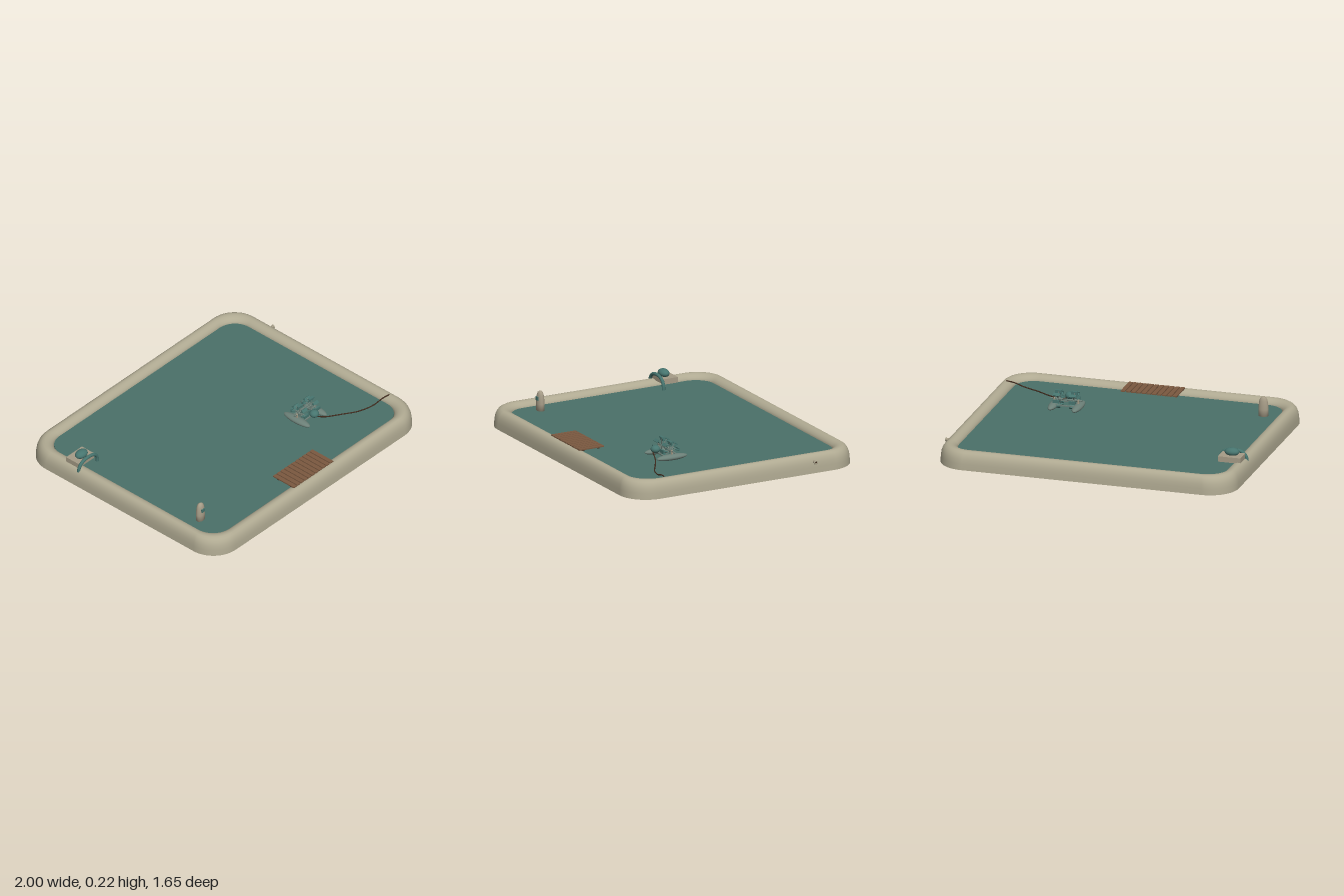
import * as THREE from 'three';

const mat = (name, color) => {
  const m = new THREE.MeshStandardMaterial({ color });
  m.name = name;
  return m;
};

export function createModel() {
  const stone = mat('sand stone', 0xb0aa92);
  stone.side = THREE.DoubleSide;
  const block = mat('warm grey stone', 0xa69c87);
  const water = mat('teal water', 0x4b7169);
  const teal = mat('teal plastic', 0x47756f);
  const grey = mat('grey green float', 0x6c8078);
  const wood = mat('brown wood', 0x7b5940);
  const dark = mat('dark brown', 0x3f2a1d);

  const model = new THREE.Group();
  const add = (name, geo, m, x = 0, y = 0, z = 0, parent = model) => {
    const mesh = new THREE.Mesh(geo, m);
    mesh.name = name;
    mesh.position.set(x, y, z);
    parent.add(mesh);
    return mesh;
  };
  const box = (w, h, d) => new THREE.BoxGeometry(w, h, d);
  const cyl = (r, h, n = 16) => new THREE.CylinderGeometry(r, r, h, n);
  const ellipsoid = (a, b, c) => new THREE.SphereGeometry(1, 28, 18).scale(a, b, c);

  // Rounded rectangle outline at a given inset from the outer edge
  const CX = -0.01, CZ = -0.005, SEG = 14;
  const outline = (inset) => {
    const r = 0.19 - 0.6 * inset, hx = 0.99 - inset - r, hz = 0.825 - inset - r;
    const pts = [];
    [[1, 1], [-1, 1], [-1, -1], [1, -1]].forEach(([sx, sz], q) => {
      for (let i = 0; i <= SEG; i++) {
        const t = (q + i / SEG) * Math.PI / 2;
        pts.push([CX + sx * hx + r * Math.cos(t), CZ + sz * hz + r * Math.sin(t)]);
      }
    });
    return pts;
  };

  // Hollow pool rim: a rounded section carried around the outline
  const section = [
    [0, 0], [0.002, 0.04], [0.006, 0.07], [0.014, 0.093], [0.025, 0.109], [0.038, 0.118],
    [0.052, 0.12], [0.068, 0.117], [0.082, 0.109], [0.093, 0.097], [0.099, 0.083], [0.1, 0.05], [0.1, 0.01],
  ];
  const pos = [], idx = [];
  const n = outline(0).length;
  section.forEach(([inset, y], j) => {
    outline(inset).forEach(([x, z]) => pos.push(x, y, z));
    if (j === section.length - 1) return;
    for (let i = 0; i < n; i++) {
      const a = j * n + i, b = j * n + (i + 1) % n;
      idx.push(a, a + n, b, b, a + n, b + n);
    }
  });
  const rim = new THREE.BufferGeometry();
  rim.setAttribute('position', new THREE.Float32BufferAttribute(pos, 3));
  rim.setIndex(idx);
  rim.computeVertexNormals();
  add('poolRim', rim, stone);

  // Body of water inside the rim
  const shape = new THREE.Shape(outline(0.1).map(([x, z]) => new THREE.Vector2(x, -z)));
  const body = new THREE.ExtrudeGeometry(shape, { depth: 0.075, bevelEnabled: false });
  add('water', body.rotateX(-Math.PI / 2), water, 0, 0.01, 0);

  // Plank deck over the front rim
  const deck = new THREE.Group();
  deck.name = 'deck';
  model.add(deck);
  for (let i = 0; i < 11; i++) {
    add('plank', box(0.028, 0.008, 0.18), wood, -0.188 + i * 0.0345, 0.123, 0.68, deck);
  }
  for (const z of [0.63, 0.74]) add('deckBearer', box(0.37, 0.006, 0.014), dark, -0.0155, 0.117, z, deck);

  // Fountain: stone block, dome and arched jet
  const fountain = new THREE.Group();
  fountain.name = 'fountain';
  model.add(fountain);
  add('fountainBlock', box(0.15, 0.036, 0.105), block, -0.89, 0.132, -0.443, fountain);
  add('fountainDome', ellipsoid(0.048, 0.027, 0.034), teal, -0.89, 0.168, -0.432, fountain);
  const arch = new THREE.CatmullRomCurve3([
    [-0.974, 0.07], [-0.968, 0.125], [-0.94, 0.154], [-0.885, 0.165], [-0.83, 0.154], [-0.802, 0.125], [-0.796, 0.07],
  ].map(([x, y]) => new THREE.Vector3(x, y, -0.38)));
  add('fountainArch', new THREE.TubeGeometry(arch, 40, 0.011, 12), teal, 0, 0, 0, fountain);

  // Domed float standing in the left front corner
  const dome = new THREE.LatheGeometry([
    [0, 0.08], [0.032, 0.08], [0.033, 0.13], [0.031, 0.16], [0.027, 0.188], [0.02, 0.205], [0.01, 0.213], [0, 0.215],
  ].map(([x, y]) => new THREE.Vector2(x, y)), 28).scale(1, 1, 0.76);
  add('skimmerDome', dome, block, -0.805, 0, 0.513);
  add('skimmerWindow', box(0.028, 0.024, 0.008), teal, -0.805, 0.166, 0.536);

  // Paddle wheel aerator
  const aerator = new THREE.Group();
  aerator.name = 'aerator';
  aerator.position.set(0.438, 0.14, 0.288);
  model.add(aerator);
  add('axle', cyl(0.005, 0.21).rotateZ(Math.PI / 2), grey, 0, 0, 0, aerator);
  for (const s of [-1, 1]) {
    add('float', ellipsoid(0.03, 0.02, 0.11), grey, s * 0.08, -0.04, 0, aerator);
    add('axlePost', box(0.01, 0.04, 0.012), block, s * 0.08, -0.015, 0, aerator);
    const wheel = new THREE.Group();
    wheel.name = 'paddleWheel';
    wheel.position.x = s * 0.053;
    aerator.add(wheel);
    add('hub', cyl(0.01, 0.03).rotateZ(Math.PI / 2), grey, 0, 0, 0, wheel);
    for (let i = 0; i < 8; i++) {
      const arm = new THREE.Group();
      arm.name = 'paddleArm';
      arm.rotation.x = i * Math.PI / 4;
      wheel.add(arm);
      add('spoke', box(0.007, 0.056, 0.005), grey, 0, 0.028, 0, arm);
      add('paddle', box(0.044, 0.008, 0.02), teal, 0, 0.056, 0, arm);
      add('paddleBlade', box(0.044, 0.022, 0.004), teal, 0, 0.046, 0, arm);
    }
  }
  for (const z of [-0.04, 0.05]) add('crossBar', box(0.15, 0.008, 0.01), grey, 0, -0.03, z, aerator);
  add('motor', ellipsoid(0.031, 0.025, 0.031), teal, 0, 0.003, 0.076, aerator);

  // Power cable from the motor to the rim
  const cable = new THREE.CatmullRomCurve3([
    [0.44, 0.13, 0.385], [0.5, 0.1, 0.4], [0.6, 0.092, 0.455], [0.7, 0.092, 0.515],
    [0.8, 0.1, 0.547], [0.87, 0.118, 0.558], [0.925, 0.122, 0.567],
  ].map((p) => new THREE.Vector3(...p)));
  add('cable', new THREE.TubeGeometry(cable, 48, 0.004, 8), dark);

  // Overflow pipe through the right hand wall
  add('overflowPipe', cyl(0.009, 0.11).rotateZ(Math.PI / 2), block, 0.94, 0.075, -0.495);
  add('overflowCollar', new THREE.TorusGeometry(0.01, 0.004, 10, 20).rotateY(Math.PI / 2), stone, 0.996, 0.075, -0.495);
  add('overflowOpening', cyl(0.007, 0.004).rotateZ(Math.PI / 2), dark, 0.994, 0.075, -0.495);

  return model;
}
